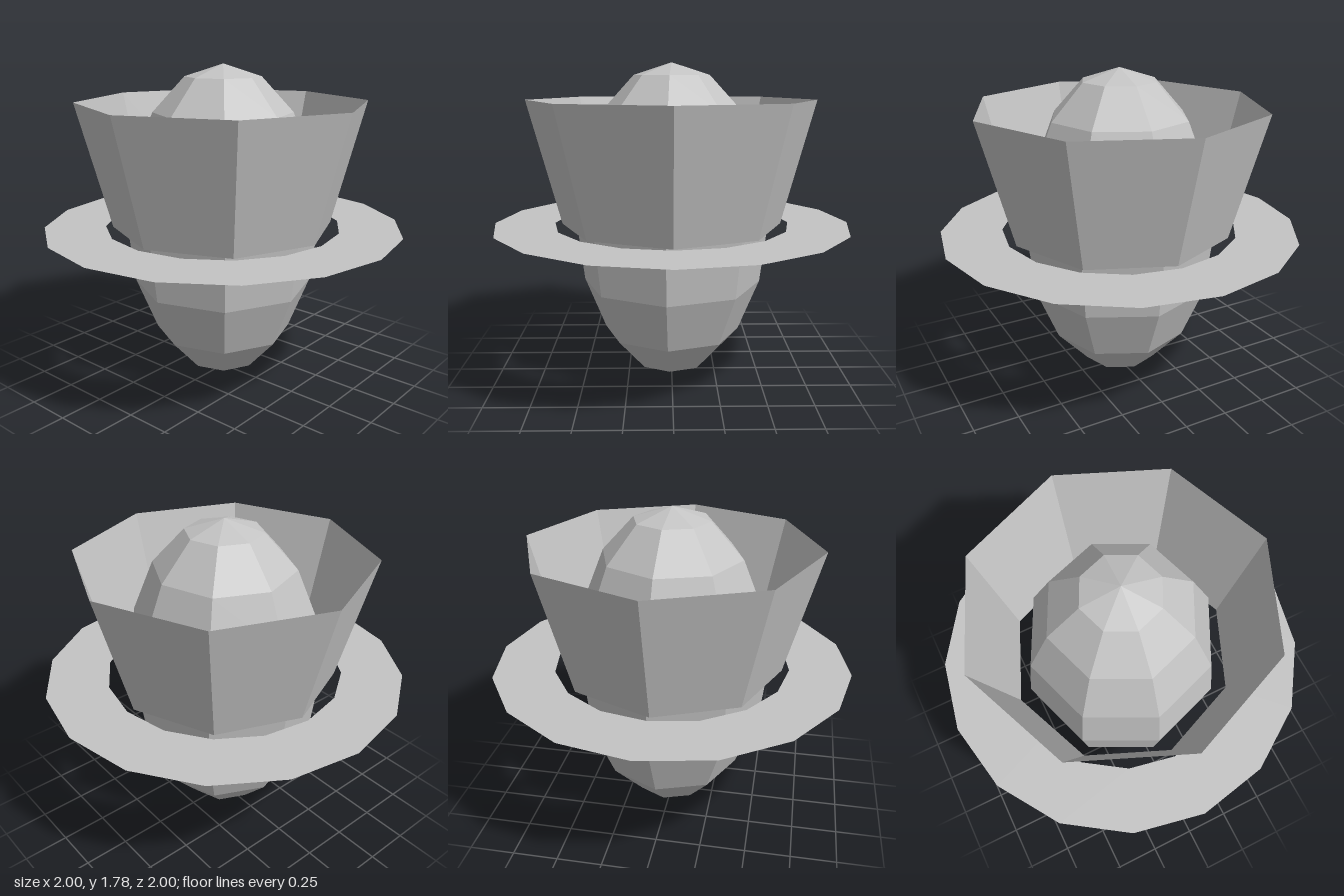
import * as THREE from 'three';

export function createModel() {
  const model = new THREE.Group();
  const grey = new THREE.MeshStandardMaterial({ color: 0xc4c4c4, flatShading: true, side: THREE.DoubleSide });
  grey.name = 'light grey';

  const add = (name, geometry, y) => {
    const mesh = new THREE.Mesh(geometry, grey);
    mesh.name = name;
    mesh.position.y = y;
    model.add(mesh);
    return mesh;
  };

  // Tall faceted egg, turned slightly about its axis
  const core = add('core', new THREE.SphereGeometry(1, 8, 8).scale(0.546, 0.888, 0.546), 0.888);
  core.rotation.y = -0.065;

  // Open eight-sided collar that flares upward
  add('collar', new THREE.CylinderGeometry(0.805, 0.62, 0.695, 8, 1, true), 1.2275);

  // Flat sixteen-sided ring around the middle
  add('ring', new THREE.RingGeometry(0.66, 1, 16).rotateX(-Math.PI / 2), 0.885);

  return model;
}
